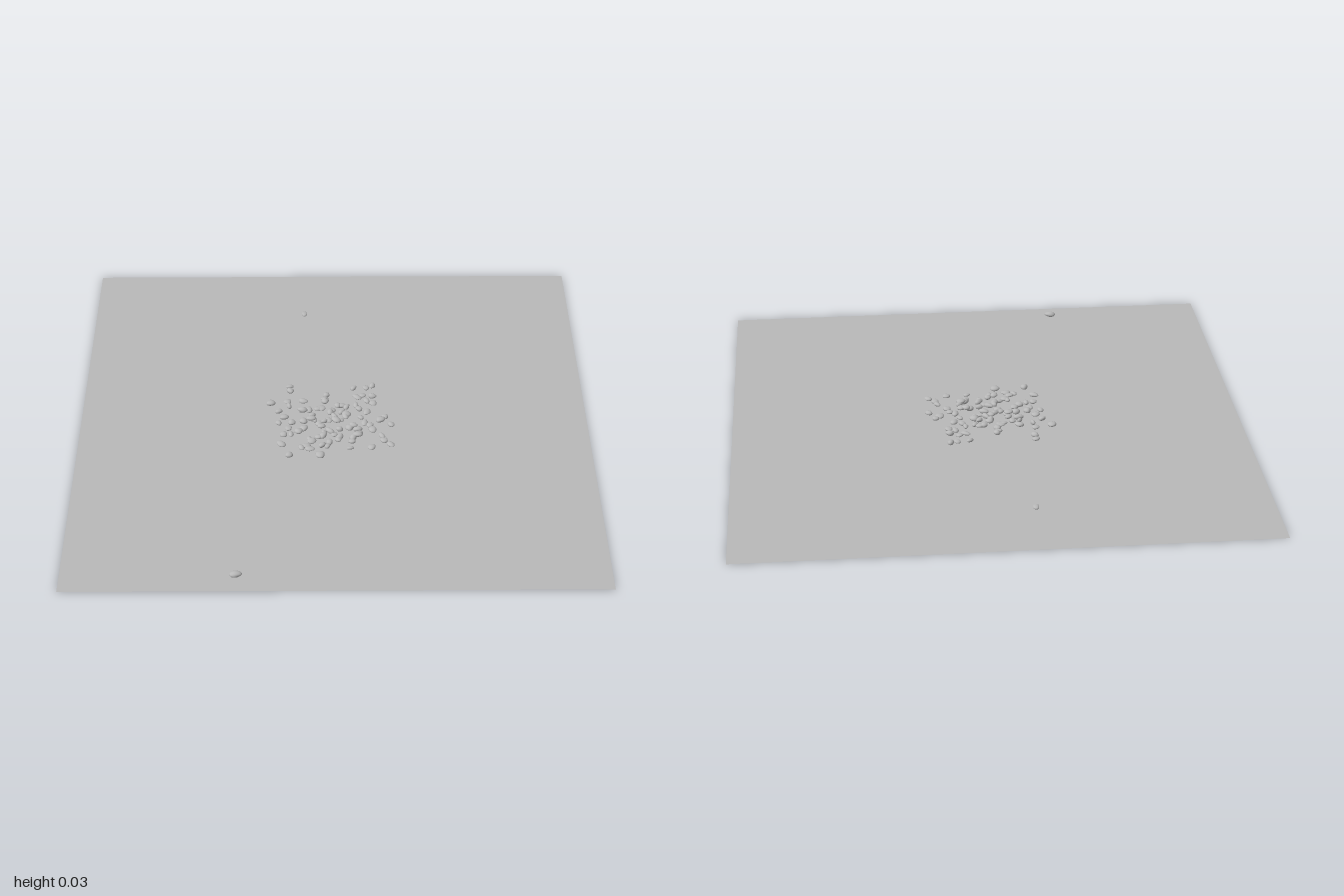
import * as THREE from 'three';
import { mergeVertices } from 'three/addons/utils/BufferGeometryUtils.js';

// Seeded random numbers, so the scatter is always the same
function makeRandom(seed) {
  return () => {
    seed = (seed * 1664525 + 1013904223) % 4294967296;
    return seed / 4294967296;
  };
}

// Lumpy unit pebble: a sphere pushed in and out by a few waves
function pebbleGeometry(phase) {
  let g = new THREE.IcosahedronGeometry(1, 2);
  g.deleteAttribute('normal');
  g.deleteAttribute('uv');
  g = mergeVertices(g, 1e-4);
  const p = g.attributes.position;
  const v = new THREE.Vector3();
  for (let i = 0; i < p.count; i++) {
    v.fromBufferAttribute(p, i);
    const lump = 1 + 0.1 * Math.sin(2.3 * v.x + phase) + 0.09 * Math.sin(2.9 * v.z + phase * 2.1)
      + 0.06 * Math.sin(3.1 * v.y + 2 * v.x + phase * 1.3);
    v.multiplyScalar(lump);
    p.setXYZ(i, v.x, v.y, v.z);
  }
  g.computeVertexNormals();
  return g;
}

// Pebble places in the heap, as x, z pairs
const HEAP = [
  -0.18, -0.2, -0.175, -0.17, 0.08, -0.19, 0.13, -0.19, 0.155, -0.2, -0.03, -0.14, -0.04, -0.12,
  -0.035, -0.1, 0.09, -0.13, 0.115, -0.14, 0.155, -0.13, 0.155, -0.09, 0.13, -0.1, -0.185, -0.1,
  -0.18, -0.07, -0.22, -0.035, -0.13, -0.04, -0.1, -0.045, -0.09, -0.01, 0.015, -0.07, 0.05, -0.065,
  0.1, -0.05, 0.13, -0.03, 0.2, 0, 0.18, 0.02, 0.225, 0.05, 0.185, 0.12, 0.195, 0.15, 0.22, 0.175,
  0.145, 0.19, 0.06, 0.195, -0.175, 0.24, -0.21, 0.17, -0.18, 0.07, -0.17, 0.11, -0.2, 0.11,
  -0.22, 0.04, -0.14, 0.09, -0.13, 0.19, -0.11, 0.18, -0.095, 0.2, -0.09, 0.15, -0.06, 0.13,
  -0.04, 0.1, -0.02, 0.09, 0, 0.11, -0.04, 0.03, -0.06, 0.04, -0.08, 0.02, -0.02, 0.02, 0, 0,
  0.02, 0.02, 0.045, 0, 0.06, 0.07, 0.09, 0.08, 0.1, 0.11, 0.075, 0.13, 0.07, 0.155, 0.02, 0.13,
  -0.02, 0.16, -0.05, 0.18, -0.01, -0.04, 0.03, -0.03, -0.05, -0.06, 0.12, 0.04, 0.15, 0.08,
  -0.2, 0, -0.12, 0.03,
];

export function createModel() {
  const model = new THREE.Group();
  const random = makeRandom(11);
  const groundGrey = new THREE.MeshStandardMaterial({ color: 0xb8b8b8, side: THREE.DoubleSide });
  groundGrey.name = 'ground grey';
  const stoneGrey = new THREE.MeshStandardMaterial({ color: 0xb8b8b8 });
  stoneGrey.name = 'stone grey';

  // Ground sheet
  const ground = new THREE.Mesh(new THREE.PlaneGeometry(2, 2), groundGrey);
  ground.name = 'ground';
  ground.rotation.x = -Math.PI / 2;
  model.add(ground);

  // Pebbles: half length, half height and half width, resting on the ground
  const shapes = Array.from({ length: 6 }, (_, i) => pebbleGeometry(i * 1.7));
  let count = 0;
  function addPebble(parent, name, x, z, a, h, b, turn, lift = 0) {
    const shape = shapes[count++ % shapes.length];
    shape.computeBoundingBox();
    const pebble = new THREE.Mesh(shape, stoneGrey);
    pebble.name = name;
    pebble.scale.set(a, h, b);
    pebble.rotation.y = turn;
    pebble.position.set(x, lift - shape.boundingBox.min.y * h, z);
    parent.add(pebble);
  }

  const heap = new THREE.Group();
  heap.name = 'pebbleHeap';
  model.add(heap);
  const scatter = (x, z, lift) => {
    const a = 0.014 + 0.006 * random();
    addPebble(heap, 'pebble', x, z, a, 0.006 + 0.004 * random(), a * (0.6 + 0.25 * random()),
      random() * Math.PI, lift);
  };
  for (let i = 0; i < HEAP.length; i += 2) scatter(HEAP[i], HEAP[i + 1], 0);

  // Extra pebbles in the crowded middle, a few lying on others
  for (let i = 0; i < 22; i++) {
    const angle = i * 2.4;
    const r = 0.035 * Math.sqrt(i + 0.5);
    scatter(r * Math.cos(angle) - 0.02, r * Math.sin(angle) + 0.03, i % 4 ? 0 : 0.008);
  }

  // Larger pebbles at the rim of the heap and two strays
  addPebble(model, 'rimPebble', -0.255, -0.09, 0.018, 0.009, 0.016, 0.3);
  addPebble(model, 'rimPebble', -0.055, 0.24, 0.02, 0.009, 0.017, 0.2);
  addPebble(model, 'strayPebble', -0.36, 0.92, 0.021, 0.01, 0.017, 0);
  addPebble(model, 'strayPebble', -0.12, -0.71, 0.017, 0.007, 0.011, Math.PI / 2);
  return model;
}
